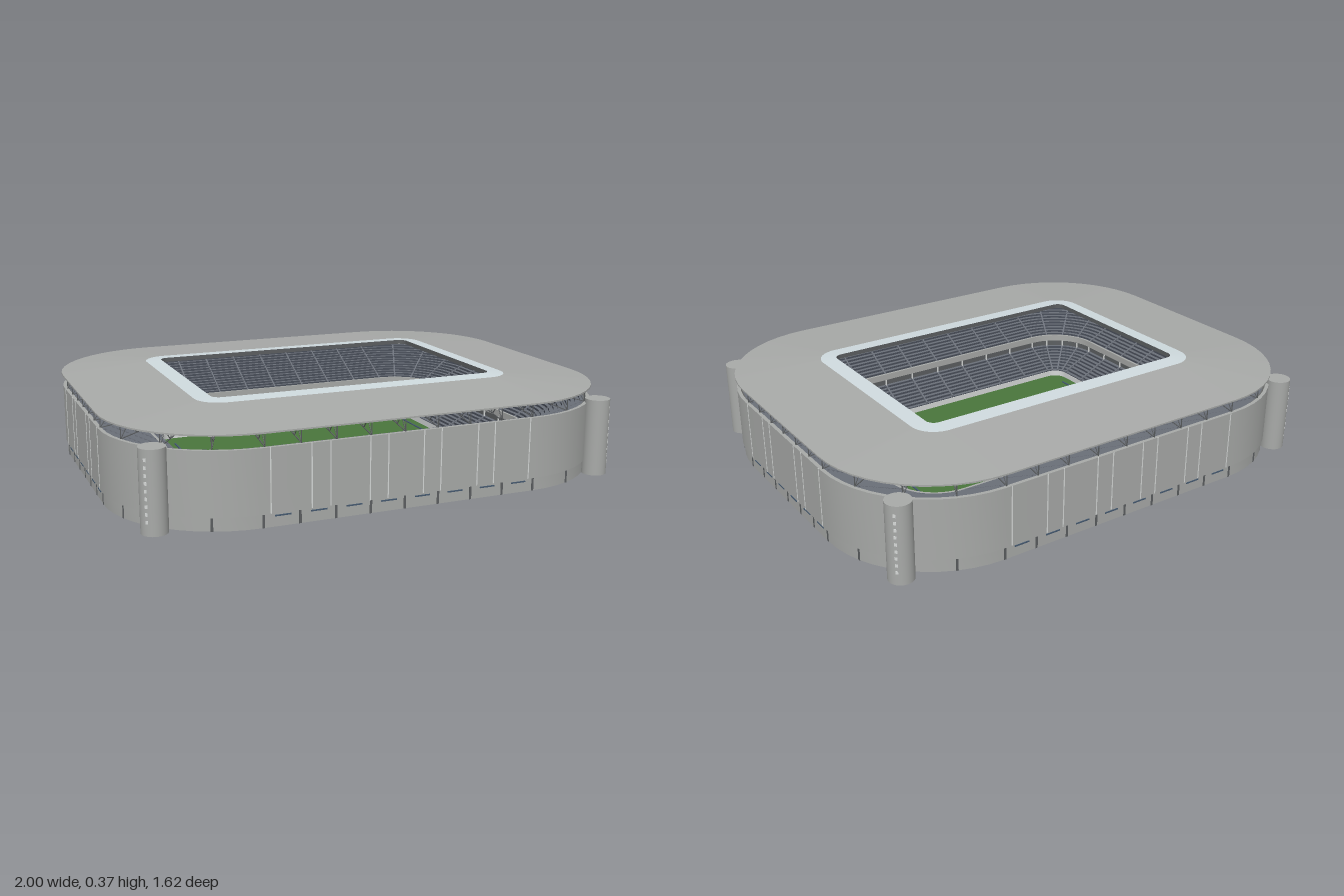
import * as THREE from 'three';
import { mergeGeometries } from 'three/addons/utils/BufferGeometryUtils.js';

const mat = (name, color) => {
  const m = new THREE.MeshStandardMaterial({ color });
  m.name = name;
  return m;
};

// Rounded-rectangle section: half sizes, corner radius, height
const sec = (hx, hz, r, y) => ({ hx, hz, r, y });
// Section through the seating bowl, t = 0 at the pitch, 1 at the outer wall
const bowl = (t, y) => sec(0.585 + 0.39 * t, 0.4 + 0.38 * t, 0.05 + 0.39 * t, y);

// Points round a section; 'rib' marks the regular structural bays
const K = 12;
function ring({ hx, hz, r, y }) {
  const pts = [];
  const signs = [[1, 1], [-1, 1], [-1, -1], [1, -1]];
  const corner = (q, j) => {
    const a = (q + j / K) * Math.PI / 2;
    return new THREE.Vector3(signs[q][0] * (hx - r) + r * Math.cos(a), y, signs[q][1] * (hz - r) + r * Math.sin(a));
  };
  for (let q = 0; q < 4; q++) {
    for (let j = 0; j <= K; j++) pts.push({ p: corner(q, j), rib: j % 3 === 0 });
    const bays = q % 2 ? 6 : 8;
    const a = corner(q, K), b = corner((q + 1) % 4, 0);
    for (let j = 1; j < bays; j++) pts.push({ p: a.clone().lerp(b, j / bays), rib: true });
  }
  return pts;
}

// Smooth strip between two sections (upward = faces out, inward = faces up)
function band(s0, s1) {
  const a = ring(s0), b = ring(s1), n = a.length;
  const pos = [], idx = [];
  for (const { p } of [...a, ...b]) pos.push(p.x, p.y, p.z);
  for (let i = 0; i < n; i++) {
    const k = (i + 1) % n;
    idx.push(i, n + i, n + k, i, n + k, k);
  }
  const g = new THREE.BufferGeometry();
  g.setAttribute('position', new THREE.Float32BufferAttribute(pos, 3));
  g.setIndex(idx);
  g.computeVertexNormals();
  return g;
}
const loft = (...s) => mergeGeometries(s.slice(1).map((x, i) => band(s[i], x)));

// Flat rounded plate facing up (1) or down (-1)
function plate(s, dir) {
  const g = new THREE.ShapeGeometry(new THREE.Shape(ring(s).map(({ p }) => new THREE.Vector2(p.x, p.z))));
  return g.rotateX(-dir * Math.PI / 2).translate(0, s.y, 0);
}

// Rectangular bar between two points
function beam(a, b, w = 0.004, h = w) {
  const o = new THREE.Object3D();
  o.position.copy(a).lerp(b, 0.5);
  o.lookAt(b);
  o.updateMatrix();
  return new THREE.BoxGeometry(w, h, a.distanceTo(b)).applyMatrix4(o.matrix);
}
const box = (w, h, d, x, y, z) => new THREE.BoxGeometry(w, h, d).translate(x, y, z);
const atHeight = (p, y) => new THREE.Vector3(p.x, y, p.z);

export function createModel() {
  const model = new THREE.Group();
  model.name = 'stadium';
  const concrete = mat('concrete', 0xa8aaa8);
  const pale = mat('pale roof edge', 0xcfdade);
  const steel = mat('dark steel', 0x5c5f61);
  const seat = mat('seat slate', 0x4a505b);
  const step = mat('terrace grey', 0x6a6f78);
  const grass = mat('grass', 0x4a763c);
  const glass = mat('dark blue glass', 0x465a70);
  const light = mat('light trim', 0xd6d9d8);
  const add = (name, geometry, material) => {
    const m = new THREE.Mesh(geometry, material);
    m.name = name;
    model.add(m);
  };

  // Ground level
  add('pitch', plate(bowl(0.02, 0.006), 1), grass);
  add('pitchUnderside', new THREE.PlaneGeometry(1.1, 0.83).rotateX(Math.PI / 2), grass);
  add('baseUnderside', plate(sec(0.8, 0.61, 0.3, 0.002), -1), concrete);
  add('baseWall', band(sec(0.8, 0.61, 0.3, 0), sec(0.8, 0.61, 0.3, 0.09)), concrete);
  add('concourse', mergeGeometries([
    band(sec(0.8, 0.61, 0.3, 0.09), sec(0.98, 0.785, 0.445, 0.09)),
    band(sec(0.98, 0.785, 0.445, 0.1), sec(0.8, 0.61, 0.3, 0.1))]), concrete);
  add('sideBoards', mergeGeometries([-1, 1].map(s => box(0.006, 0.005, 0.62, s * 0.547, 0.008, 0))), glass);

  // Outer shell and recessed skirt
  const w = (d, y) => sec(0.995 - d, 0.803 - d, 0.46 - d, y);
  add('outerWall', loft(w(0, 0.05), w(0, 0.285), w(0.014, 0.285), w(0.014, 0.05), w(0, 0.05)), concrete);
  add('skirt', loft(w(0.006, 0), w(0.006, 0.05), w(0.012, 0.05), w(0.012, 0), w(0.006, 0)), concrete);
  const foot = ring(w(0.009, 0)).filter(e => e.rib).map(e => e.p);
  add('skirtPillars', mergeGeometries(foot.map(p => beam(p, atHeight(p, 0.05), 0.009))), steel);
  const sill = ring(w(0.005, 0.04)).filter(e => e.rib).map(e => e.p);
  add('skirtWindows', mergeGeometries(sill.map((p, i) => {
    const q = sill[(i + 1) % sill.length];
    return beam(p.clone().lerp(q, 0.25), p.clone().lerp(q, 0.7), 0.004, 0.005);
  })), glass);

  // Vertical panel joints in the wall
  const joints = [];
  for (const s of [-1, 1]) {
    for (const x of [0.07, 0.14, 0.29, 0.36, 0.51])
      for (const m of [-1, 1]) joints.push(box(0.004, 0.234, 0.003, m * x, 0.168, s * 0.803));
    for (const z of [0.11, 0.175, 0.32])
      for (const m of [-1, 1]) joints.push(box(0.003, 0.234, 0.004, s * 0.995, 0.168, m * z));
  }
  add('wallJoints', mergeGeometries(joints), light);

  // Terraced stands, open from behind
  const treads = [], risers = [];
  const tier = (t0, y0, t1, y1, n) => {
    for (let i = 0; i < n; i++) {
      const t = k => t0 + (t1 - t0) * k / n;
      const y = y0 + (y1 - y0) * (i + 1) / n;
      treads.push(band(bowl(t(i + 1), y), bowl(t(i), y)));
      risers.push(band(bowl(t(i), y), bowl(t(i), y - (y1 - y0) / n)));
    }
  };
  tier(0.02, 0.025, 0.4, 0.105, 9);
  tier(0.36, 0.15, 1, 0.278, 15);
  add('terraceSteps', mergeGeometries(treads), step);
  add('seatRows', mergeGeometries(risers), seat);
  add('pitchBarrier', loft(bowl(0.025, 0.03), bowl(0.015, 0.03), bowl(0.015, 0.002)), light);
  add('tierBackWall', band(bowl(0.4, 0.15), bowl(0.4, 0.105)), steel);
  add('balconyFront', loft(bowl(0.38, 0.162), bowl(0.355, 0.162), bowl(0.355, 0.135), bowl(0.4, 0.135)), concrete);
  add('balconyPosts', mergeGeometries(ring(bowl(0.37, 0.1)).filter(e => e.rib)
    .map(({ p }) => beam(p, atHeight(p, 0.136), 0.005))), light);
  const aisles = [];
  for (const [t0, y0, t1, y1] of [[0.03, 0.034, 0.39, 0.109], [0.36, 0.155, 0.99, 0.28]]) {
    const a = ring(bowl(t0, y0)), b = ring(bowl(t1, y1));
    a.forEach((e, i) => { if (e.rib) aisles.push(beam(e.p, b[i].p, 0.007, 0.006)); });
  }
  add('aisles', mergeGeometries(aisles), step);

  // Roof: sloping deck, pale inner edge, fascia and soffit
  const outer = y => sec(1, 0.808, 0.47, y);
  const mid = y => sec(0.645, 0.46, 0.1, y);
  const inner = y => sec(0.582, 0.392, 0.035, y);
  add('roofDeck', loft(outer(0.335), outer(0.341), mid(0.366)), concrete);
  add('roofInnerEdge', band(mid(0.366), inner(0.37)), pale);
  add('roofFascia', band(inner(0.37), inner(0.352)), steel);
  add('roofSoffit', loft(inner(0.352), mid(0.354), outer(0.335)), concrete);

  // Roof trusses: posts, chords and zigzag webs
  const bars = [];
  const rimAt = y => ring(sec(0.985, 0.793, 0.46, y));
  const mouthAt = y => ring(sec(0.645, 0.453, 0.12, y));
  const topOut = rimAt(0.334), topIn = mouthAt(0.353), lowOut = rimAt(0.285), lowIn = mouthAt(0.342);
  topOut.forEach((e, i) => {
    if (!e.rib) return;
    const T = t => e.p.clone().lerp(topIn[i].p, t);
    const L = t => lowOut[i].p.clone().lerp(lowIn[i].p, t);
    bars.push(beam(L(0), T(0), 0.003), beam(L(0), L(1), 0.003), beam(T(0), T(1), 0.003));
    for (let k = 0; k < 5; k++) {
      bars.push(beam(L(k / 5), T((k + 0.5) / 5), 0.0025), beam(T((k + 0.5) / 5), L((k + 1) / 5), 0.0025));
    }
  });
  add('roofTrusses', mergeGeometries(bars), steel);

  // Corner stair towers with a column of small windows
  const towers = [], panes = [];
  for (const sx of [-1, 1]) for (const sz of [-1, 1]) {
    towers.push(new THREE.CylinderGeometry(0.048, 0.048, 0.302, 28).translate(sx * 0.887, 0.151, sz * 0.693));
    for (let k = 0; k < 9; k++) {
      panes.push(new THREE.BoxGeometry(0.01, 0.012, 0.003).translate(0, 0.05 + k * 0.027, 0.0475)
        .rotateY(Math.atan2(sx, sz)).translate(sx * 0.887, 0, sz * 0.693));
    }
  }
  add('stairTowers', mergeGeometries(towers), concrete);
  add('towerWindows', mergeGeometries(panes), light);
  return model;
}
